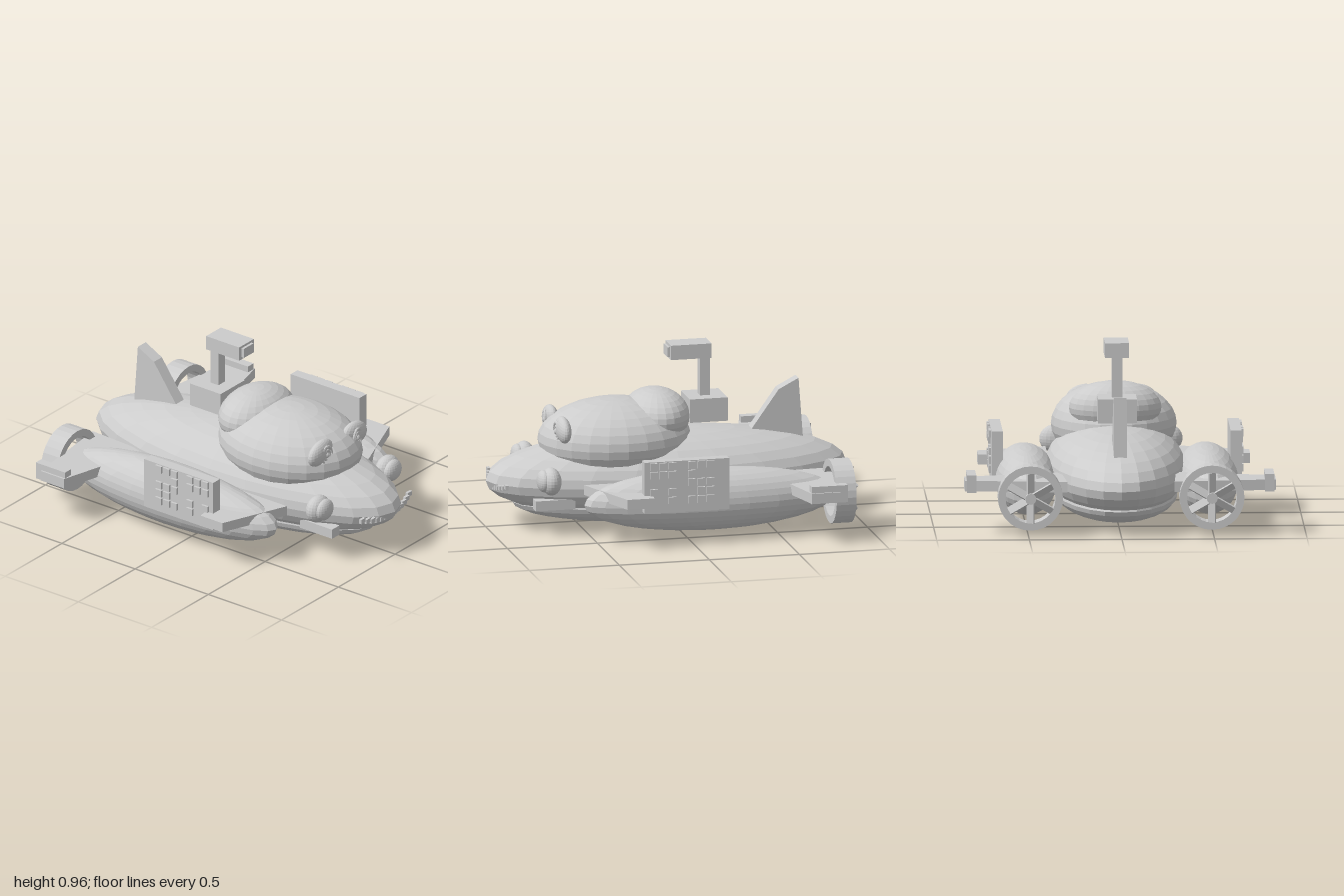
import * as THREE from 'three';

const mat = new THREE.MeshStandardMaterial({ color: 0xcccccc, flatShading: true, side: THREE.DoubleSide });

function add(parent, name, geo, x = 0, y = 0, z = 0) {
  const m = new THREE.Mesh(geo, mat);
  m.name = name;
  m.position.set(x, y, z);
  parent.add(m);
  return m;
}

// Ellipsoid from centre and radii
function blob(parent, name, [x, y, z], [rx, ry, rz], w = 24, h = 16) {
  return add(parent, name, new THREE.SphereGeometry(1, w, h).scale(rx, ry, rz), x, y, z);
}

// Box from its minimum and maximum corners
function box(parent, name, [x0, y0, z0], [x1, y1, z1]) {
  return add(parent, name, new THREE.BoxGeometry(x1 - x0, y1 - y0, z1 - z0),
    (x0 + x1) / 2, (y0 + y1) / 2, (z0 + z1) / 2);
}

// Extruded polygon
function slab(points, depth) {
  const shape = new THREE.Shape(points.map(([a, b]) => new THREE.Vector2(a, b)));
  return new THREE.ExtrudeGeometry(shape, { depth, bevelEnabled: false });
}

// Horizontal plate with its outline given as x, z
function plate(parent, name, points, y0, y1) {
  const geo = slab(points.map(([x, z]) => [x, -z]), y1 - y0).rotateX(-Math.PI / 2);
  return add(parent, name, geo, 0, y0, 0);
}

// Ducted fan: open ring, hub and pitched blades
function makeThruster() {
  const g = new THREE.Group();
  g.name = 'thruster';
  const profile = [[0.135, -0.055], [0.175, -0.055], [0.175, 0.055], [0.135, 0.055], [0.135, -0.055]]
    .map(([r, y]) => new THREE.Vector2(r, y));
  add(g, 'duct', new THREE.LatheGeometry(profile, 28).rotateX(Math.PI / 2));
  add(g, 'fanHub', new THREE.CylinderGeometry(0.03, 0.03, 0.07, 12).rotateX(Math.PI / 2), 0, 0, -0.05);
  for (let i = 0; i < 6; i++) {
    const blade = new THREE.BoxGeometry(0.045, 0.11, 0.01)
      .rotateY(0.6).translate(0, 0.08, 0).rotateZ(i * Math.PI / 3);
    add(g, 'fanBlade', blade, 0, 0, -0.06);
  }
  return g;
}

// Everything that sits on one side; s = 1 is left, -1 is right
function makeSide(s) {
  const g = new THREE.Group();
  g.name = s > 0 ? 'leftSide' : 'rightSide';
  const span = (name, x0, x1, y0, y1, z0, z1) =>
    box(g, name, [Math.min(s * x0, s * x1), y0, z0], [Math.max(s * x0, s * x1), y1, z1]);

  blob(g, 'pontoon', [s * 0.49, 0.215, -0.13], [0.168, 0.17, 0.7]);

  // Fins and wing tip pods
  plate(g, 'frontFin', [[0.36, 0.54], [0.735, 0.39], [0.735, 0.24], [0.36, 0.2]].map(([x, z]) => [s * x, z]), 0.24, 0.295);
  plate(g, 'rearFin', [[0.29, -0.84], [0.84, -0.77], [0.84, -0.61], [0.31, -0.47]].map(([x, z]) => [s * x, z]), 0.238, 0.295);
  span('tipPod', 0.78, 0.83, 0.235, 0.33, -0.81, -0.61);

  // Side panel with raised tiles
  span('sidePanel', 0.615, 0.675, 0.195, 0.48, -0.19, 0.28);
  const rows = ['111111', '111100', '000111', '101011', '001111'];
  const columns = [0.23, 0.178, 0.126, 0.02, -0.033, -0.085];
  rows.forEach((row, r) => columns.forEach((z, c) => {
    if (row[c] === '0') return;
    const y = 0.455 - r * 0.048;
    span('panelTile', 0.67, 0.688, y - 0.02, y + 0.02, z - 0.021, z + 0.021);
  }));

  const thruster = makeThruster();
  thruster.position.set(s * 0.49, 0.215, -0.845);
  g.add(thruster);

  // Headlight
  blob(g, 'headlight', [s * 0.305, 0.312, 0.71], [0.082, 0.076, 0.055], 20, 14);
  blob(g, 'headlightLens', [s * 0.3, 0.315, 0.75], [0.066, 0.06, 0.037], 20, 14);

  // Eye with concentric rings
  const eye = new THREE.Group();
  eye.name = 'eye';
  eye.position.set(s * 0.15, 0.555, 0.605);
  blob(eye, 'eyeball', [0, 0, 0], [0.1, 0.068, 0.04], 20, 14).rotation.z = -s * 0.2;
  const iris = new THREE.Group();
  iris.name = 'iris';
  iris.position.set(-s * 0.015, -0.01, 0.033);
  iris.rotation.y = s * 0.12;
  for (const r of [0.044, 0.026]) {
    add(iris, 'irisRing', new THREE.TorusGeometry(r, 0.008, 8, 24).scale(0.85, 1.1, 1));
  }
  blob(iris, 'pupil', [0, 0, 0], [0.014, 0.018, 0.015], 12, 8);
  eye.add(iris);
  g.add(eye);

  // Skid block under the bow
  span('skid', 0.22, 0.285, 0.145, 0.2, 0.57, 0.79);
  return g;
}

export function createModel() {
  const model = new THREE.Group();
  model.name = 'submarine';

  // Hull, keel and cabin
  blob(model, 'hull', [0, 0.26, 0], [0.38, 0.24, 1]);
  blob(model, 'keel', [0, 0.132, -0.01], [0.335, 0.128, 0.86]);
  blob(model, 'cabin', [0, 0.458, 0.285], [0.34, 0.222, 0.42]);
  blob(model, 'dome', [0, 0.575, 0.055], [0.25, 0.146, 0.18]);

  // Periscope
  box(model, 'periscopeBase', [-0.105, 0.54, -0.32], [0.105, 0.67, -0.11]);
  box(model, 'periscopePost', [-0.028, 0.66, -0.24], [0.028, 0.89, -0.185]);
  box(model, 'periscopeHead', [-0.065, 0.885, -0.24], [0.065, 0.965, -0.015]);
  box(model, 'periscopeLens', [-0.043, 0.898, -0.02], [0.043, 0.952, 0]);

  // Tail fin, outlined as z, y
  const fin = slab([[-0.47, 0.47], [-0.62, 0.68], [-0.73, 0.737], [-0.755, 0.4]].map(([z, y]) => [-z, y]), 0.07);
  add(model, 'tailFin', fin.rotateY(Math.PI / 2), -0.035, 0, 0);

  // Smile built from small blocks
  for (let i = -6; i <= 6; i++) {
    const t = i / 6;
    add(model, 'smileBlock', new THREE.BoxGeometry(0.037, 0.025, 0.016),
      t * 0.205, 0.233 + 0.035 * t * t, 0.965 - 0.03 * t * t);
  }

  model.add(makeSide(1), makeSide(-1));
  return model;
}
